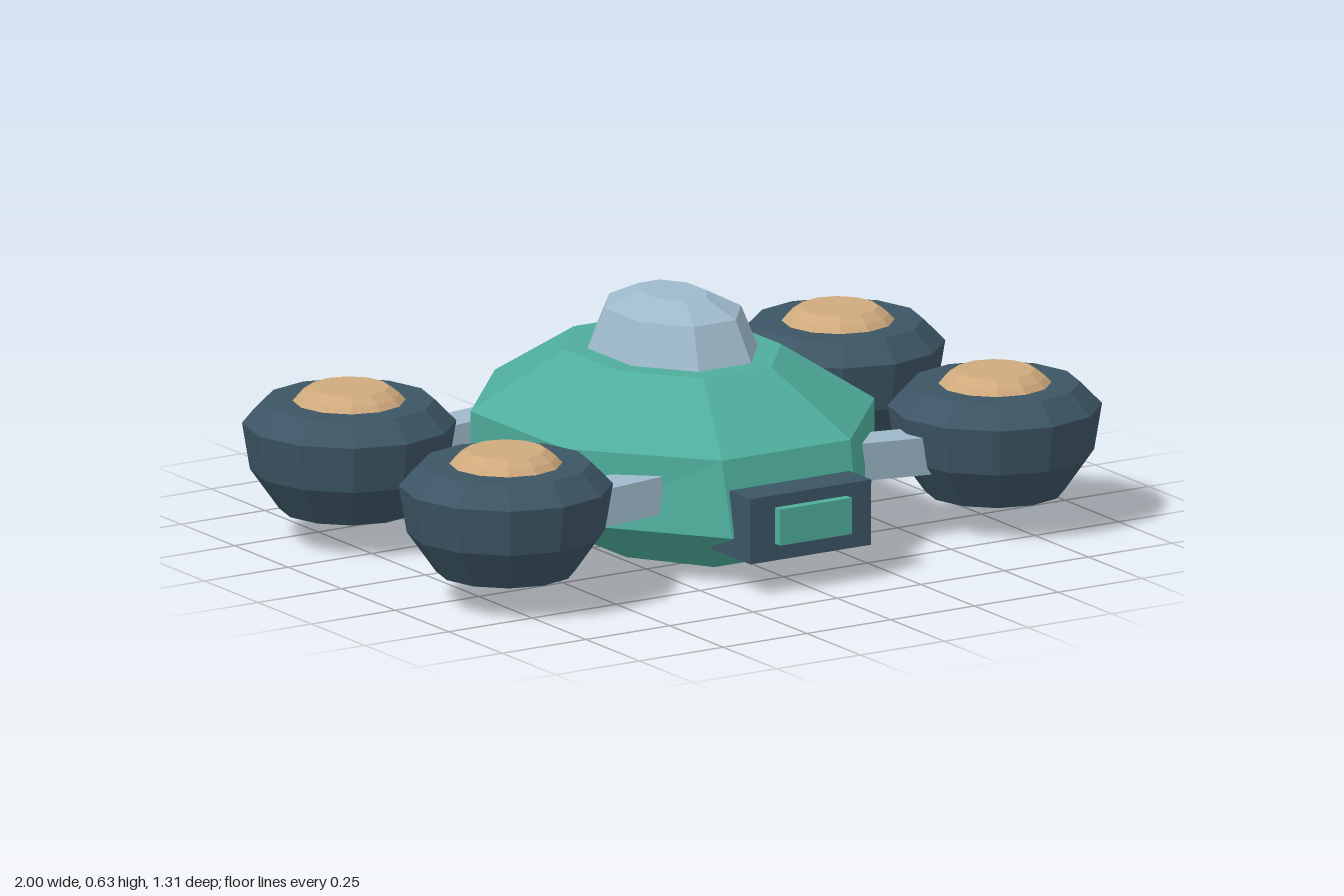
import * as THREE from 'three';

const mat = (name, color) => {
  const m = new THREE.MeshStandardMaterial({ color, flatShading: true });
  m.name = name;
  return m;
};

// Closed faceted solid through stacked rings [y, halfX, halfZ], listed bottom to top.
// With "flats" the half sizes reach to the flat sides, otherwise to the corners.
function loft(rings, sides, flats) {
  const pos = [];
  const turn = flats ? Math.PI / sides : 0;
  const grow = flats ? 1 / Math.cos(Math.PI / sides) : 1;
  const point = ([y, rx, rz], i) => {
    const a = turn + (i / sides) * Math.PI * 2;
    return [Math.sin(a) * rx * grow, y, Math.cos(a) * rz * grow];
  };
  const low = rings[0], high = rings[rings.length - 1];
  for (let i = 0; i < sides; i++) {
    for (let r = 0; r < rings.length - 1; r++) {
      const a = point(rings[r], i), b = point(rings[r], i + 1);
      const c = point(rings[r + 1], i + 1), d = point(rings[r + 1], i);
      pos.push(...a, ...b, ...c, ...a, ...c, ...d);
    }
    pos.push(0, low[0], 0, ...point(low, i + 1), ...point(low, i));
    pos.push(0, high[0], 0, ...point(high, i), ...point(high, i + 1));
  }
  const g = new THREE.BufferGeometry();
  g.setAttribute('position', new THREE.Float32BufferAttribute(pos, 3));
  g.computeVertexNormals();
  return g;
}

export function createModel() {
  const green = mat('hull green', 0x4fae9c);
  const steel = mat('pale steel', 0x9db9ca);
  const slate = mat('dark slate', 0x3c5564);
  const tan = mat('tan', 0xcfa97c);
  const model = new THREE.Group();
  model.name = 'hoverCraft';

  const add = (parent, name, geometry, material, x = 0, y = 0, z = 0) => {
    const m = new THREE.Mesh(geometry, material);
    m.name = name;
    m.position.set(x, y, z);
    parent.add(m);
    return m;
  };

  // Octagonal hull and cockpit dome
  add(model, 'hull', loft([
    [0, 0.23, 0.345], [0.137, 0.452, 0.57], [0.332, 0.463, 0.53], [0.483, 0.244, 0.303],
  ], 8, true), green, 0, 0, -0.018);
  add(model, 'cockpitDome', loft([
    [0.475, 0.192, 0.248], [0.587, 0.152, 0.197], [0.629, 0.074, 0.11],
  ], 8, true), steel, 0, 0, -0.018);

  // Nose box with a raised panel
  add(model, 'noseBox', new THREE.BoxGeometry(0.36, 0.17, 0.18), slate, 0, 0.171, 0.537);
  add(model, 'nosePanel', new THREE.BoxGeometry(0.215, 0.094, 0.05), green, 0, 0.177, 0.627);

  // Four lift pods on arms
  const podBody = loft([
    [0.086, 0.176, 0.176], [0.19, 0.25, 0.25], [0.31, 0.27, 0.27], [0.366, 0.215, 0.215],
  ], 12, false);
  const podCap = loft([
    [0.36, 0.148, 0.148], [0.382, 0.128, 0.128], [0.401, 0.1, 0.1],
  ], 12, false);
  const podThruster = loft([[0.084, 0.17, 0.17], [0.09, 0.17, 0.17]], 12, false);
  const armBox = new THREE.BoxGeometry(0.36, 0.097, 0.105);

  for (const side of [1, -1]) {
    for (const [end, z] of [['front', 0.345], ['back', -0.387]]) {
      const pod = new THREE.Group();
      pod.name = end + (side > 0 ? 'Left' : 'Right') + 'Pod';
      pod.position.set(side * 0.73, 0, z);
      model.add(pod);
      add(pod, 'podBody', podBody, slate);
      add(pod, 'podCap', podCap, tan);
      add(pod, 'podThruster', podThruster, green);
      const arm = add(pod, 'arm', armBox, steel, side * -0.255, 0.221, 0);
      arm.rotation.z = side * -0.06;
    }
  }
  return model;
}
